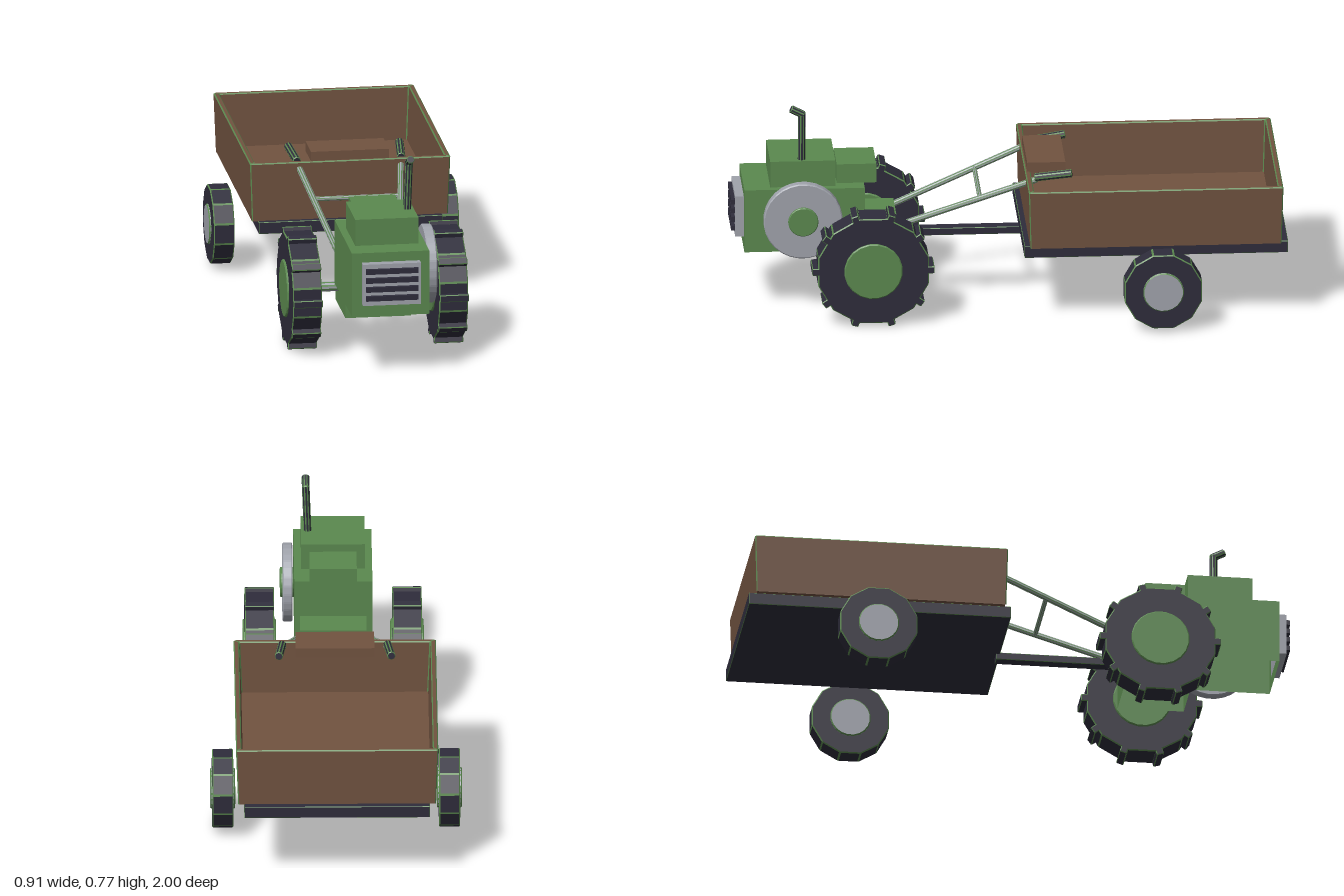
import * as THREE from 'three';

const mat = (name, color, side = THREE.FrontSide) => {
  const m = new THREE.MeshStandardMaterial({ color, side });
  m.name = name;
  return m;
};

const quad = (out, a, b, c, d) => out.push(...a, ...b, ...c, ...a, ...c, ...d);

// Flat-shaded geometry: group 0 holds the faces, group 1 the cut edges
function twoTone(faces, edges) {
  const g = new THREE.BufferGeometry();
  g.setAttribute('position', new THREE.Float32BufferAttribute(faces.concat(edges), 3));
  g.addGroup(0, faces.length / 3, 0);
  g.addGroup(faces.length / 3, edges.length / 3, 1);
  g.computeVertexNormals();
  return g;
}

// Convex prism along z with every edge cut
function bevelled(corners, length, c) {
  const n = corners.length, h = length / 2, k = h - c;
  const faces = [], edges = [];
  const at = (p, z) => [p.x, p.y, z];
  const cut = corners.map((p, i) => {
    const a = corners[(i + n - 1) % n].clone().sub(p).normalize();
    const b = corners[(i + 1) % n].clone().sub(p).normalize();
    const inset = c / Math.abs(a.cross(b));
    return {
      before: p.clone().addScaledVector(a, c),
      after: p.clone().addScaledVector(b, c),
      cap: p.clone().addScaledVector(a.clone().add(b), inset),
    };
  });
  cut.forEach((p, i) => {
    const q = cut[(i + 1) % n];
    quad(faces, at(p.after, -k), at(q.before, -k), at(q.before, k), at(p.after, k));
    quad(edges, at(p.before, -k), at(p.after, -k), at(p.after, k), at(p.before, k));
    quad(edges, at(p.after, k), at(q.before, k), at(q.cap, h), at(p.cap, h));
    quad(edges, at(p.cap, -h), at(q.cap, -h), at(q.before, -k), at(p.after, -k));
    edges.push(...at(p.before, k), ...at(p.after, k), ...at(p.cap, h));
    edges.push(...at(p.cap, -h), ...at(p.after, -k), ...at(p.before, -k));
    faces.push(0, 0, h, ...at(p.cap, h), ...at(q.cap, h));
    faces.push(0, 0, -h, ...at(q.cap, -h), ...at(p.cap, -h));
  });
  return twoTone(faces, edges);
}

// Open tray from rings [halfX, halfZ, y, band below is an edge], floor at the last ring
function tray(rings, c) {
  const faces = [], edges = [];
  const loops = rings.map(([x, z, y]) => [
    [-x + c, y, z], [x - c, y, z], [x, y, z - c], [x, y, c - z],
    [x - c, y, -z], [c - x, y, -z], [-x, y, c - z], [-x, y, z - c]]);
  loops.forEach((loop, r) => loop.forEach((p, i) => {
    const j = (i + 1) % 8;
    if (r > 0) {
      const out = rings[r][3] || i % 2 ? edges : faces;
      quad(out, loops[r - 1][i], loops[r - 1][j], loop[j], p);
    }
    if (r === loops.length - 1) faces.push(...p, ...loop[j], 0, p[1], 0);
  }));
  return twoTone(faces, edges);
}

// Regular polygon with a flat facing up
const polygon = (n, r) => Array.from({ length: n }, (_, i) => {
  const a = ((i + 0.5) / n) * Math.PI * 2 + Math.PI / 2;
  return new THREE.Vector2(r * Math.cos(a), r * Math.sin(a));
});

const bevelledBox = (w, h, d, c) => bevelled([[-1, -1], [1, -1], [1, 1], [-1, 1]].map(
  ([x, y]) => new THREE.Vector2(x * w / 2, y * h / 2)), d, c);

export function createModel() {
  const green = mat('green paint', 0x5b894f, THREE.DoubleSide);
  const brown = mat('brown wood', 0x715340);
  const dark = mat('dark rubber and iron', 0x2e2c3b);
  const grey = mat('grey metal', 0xa0a3ac);

  const model = new THREE.Group();
  model.name = 'walkingTractorWithTrailer';

  const add = (parent, name, geometry, material) => {
    const mesh = new THREE.Mesh(geometry, material);
    mesh.name = name;
    parent.add(mesh);
    return mesh;
  };

  const group = (parent, name, x = 0, y = 0, z = 0) => {
    const g = new THREE.Group();
    g.name = name;
    g.position.set(x, y, z);
    parent.add(g);
    return g;
  };

  // Box given by its limits on each axis; a trim width adds green edges
  const box = (parent, name, material, [x0, x1], [y0, y1], [z0, z1], trim = 0) => {
    const size = [x1 - x0, y1 - y0, z1 - z0];
    const g = trim ? bevelledBox(...size, trim) : new THREE.BoxGeometry(...size);
    g.translate((x0 + x1) / 2, (y0 + y1) / 2, (z0 + z1) / 2);
    return add(parent, name, g, trim ? [material, green] : material);
  };

  // Bevelled disc whose axis runs along x
  const disc = (parent, name, material, edge, r, x0, x1, sides, c = 0.004) => {
    const g = bevelled(polygon(sides, r), x1 - x0, c);
    g.rotateY(Math.PI / 2);
    g.translate((x0 + x1) / 2, 0, 0);
    return add(parent, name, g, [material, edge]);
  };

  // Eight-sided rod with green edges between two points
  const rod = (parent, name, material, a, b, r) => {
    const p = new THREE.Vector3(...a), q = new THREE.Vector3(...b);
    const d = q.clone().sub(p);
    const mesh = add(parent, name, bevelled(polygon(8, r), d.length(), r * 0.18), [material, green]);
    mesh.position.copy(p).add(q).multiplyScalar(0.5);
    mesh.quaternion.setFromUnitVectors(new THREE.Vector3(0, 0, 1), d.normalize());
    return mesh;
  };

  // Sheet metal housing, open underneath
  const housing = (parent, name, ...limits) => {
    const g = box(parent, name, green, ...limits).geometry;
    const index = Array.from(g.index.array);
    index.splice(18, 6);
    g.setIndex(index);
    g.clearGroups();
  };

  // Tractor body
  const tractor = group(model, 'tractor');
  housing(tractor, 'engineBlock', [-0.142, 0.14], [0.23, 0.468], [0.52, 0.955]);
  housing(tractor, 'gearbox', [-0.12, 0.12], [0.132, 0.33], [0.4, 0.64]);
  box(tractor, 'hood', green, [-0.116, 0.114], [0.468, 0.566], [0.625, 0.86]);
  box(tractor, 'fuelTank', green, [-0.085, 0.085], [0.468, 0.54], [0.475, 0.618]);

  // Grille with four slats
  box(tractor, 'grille', grey, [-0.106, 0.105], [0.278, 0.433], [0.955, 0.986]);
  for (let i = 0; i < 4; i++) {
    const y = 0.307 + i * 0.0335;
    box(tractor, 'grilleSlat', dark, [-0.096, 0.095], [y - 0.009, y + 0.009], [0.984, 1.0]);
  }

  // Flywheel on the left side
  const flywheel = group(tractor, 'flywheel', 0, 0.358, 0.745);
  disc(flywheel, 'flywheelRim', grey, grey, 0.143, 0.145, 0.181, 28);
  disc(flywheel, 'flywheelHub', green, green, 0.055, 0.14, 0.19, 18, 0.003);

  // Exhaust pipe with a bent tip
  rod(tractor, 'exhaustPipe', dark, [0.09, 0.56, 0.745], [0.097, 0.748, 0.745], 0.015);
  rod(tractor, 'exhaustTip', dark, [0.097, 0.738, 0.738], [0.097, 0.762, 0.785], 0.015);

  // Axle stubs and lugged wheels
  for (const s of [-1, 1]) {
    rod(tractor, 'axleStub', grey, [s * 0.12, 0.2125, 0.5], [s * 0.22, 0.2125, 0.5], 0.019);
    const wheel = group(tractor, s > 0 ? 'leftDriveWheel' : 'rightDriveWheel', s * 0.2665, 0.2125, 0.5);
    disc(wheel, 'tyre', dark, green, 0.207, -0.053, 0.053, 12);
    disc(wheel, 'hub', green, green, 0.106, -0.06, 0.06, 20);
    for (let i = 0; i < 10; i++) {
      const lug = bevelledBox(0.106, 0.04, 0.027, 0.003);
      lug.translate(0, 0.201, 0);
      lug.rotateX((i + 0.5) * Math.PI / 5);
      add(wheel, 'tyreLug', lug, [dark, green]);
    }
  }

  // Handlebars, grips and cross brace
  for (const s of [-1, 1]) {
    rod(tractor, 'handlebar', grey, [s * 0.113, 0.31, 0.402], [s * 0.19, 0.505, -0.1], 0.012);
    rod(tractor, 'handGrip', dark, [s * 0.19, 0.512, -0.09], [s * 0.203, 0.53, -0.225], 0.016);
  }
  rod(tractor, 'handlebarBrace', grey, [-0.158, 0.425, 0.105], [0.158, 0.425, 0.105], 0.009);

  // Trailer chassis
  const trailer = group(model, 'trailer');
  box(trailer, 'drawbar', dark, [-0.022, 0.022], [0.235, 0.262], [-0.06, 0.4], 0.002);
  box(trailer, 'chassis', dark, [-0.335, 0.335], [0.256, 0.3], [-0.998, -0.045], 0.002);

  // Open cargo box, flaring slightly outwards, with green edges on the rim and corners
  const cargo = add(trailer, 'cargoBox', tray([
    [0.357, 0.454, 0.299],
    [0.365, 0.46, 0.513],
    [0.361, 0.456, 0.517, true],
    [0.349, 0.444, 0.517],
    [0.345, 0.44, 0.513, true],
    [0.337, 0.434, 0.318],
  ], 0.004), [brown, green]);
  cargo.position.z = -0.519;
  box(trailer, 'cargoUnderside', brown, [-0.352, 0.352], [0.299, 0.312], [-0.97, -0.068]);
  box(trailer, 'seat', brown, [-0.142, 0.142], [0.515, 0.551], [-0.205, -0.067]);

  // Trailer wheels
  for (const s of [-1, 1]) {
    const wheel = group(trailer, s > 0 ? 'leftTrailerWheel' : 'rightTrailerWheel', s * 0.409, 0.155, -0.54);
    disc(wheel, 'tyre', dark, green, 0.145, -0.038, 0.038, 12);
    disc(wheel, 'hub', grey, green, 0.074, -0.045, 0.045, 20);
  }

  return model;
}
